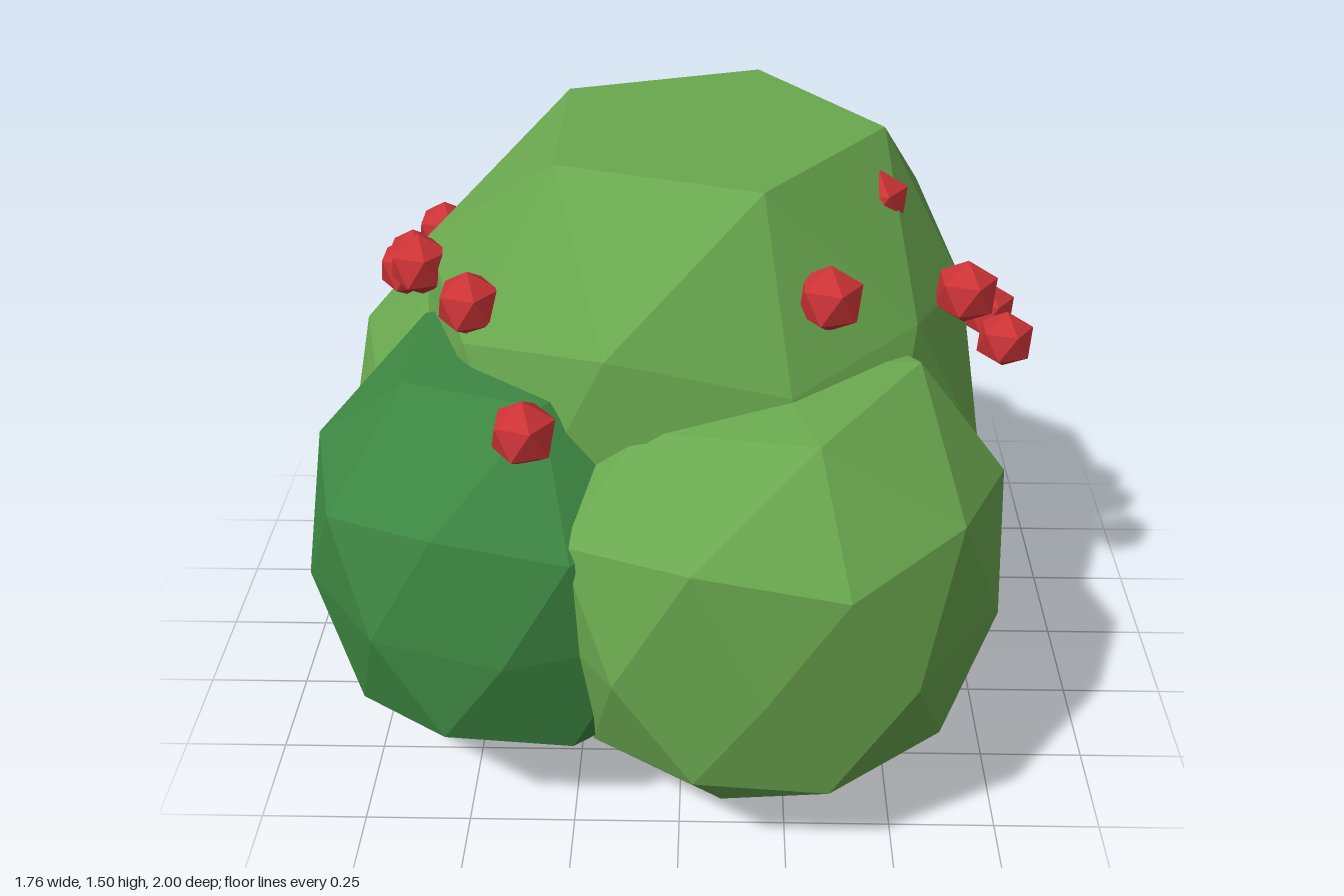
import * as THREE from 'three';

const mat = (name, color) => Object.assign(new THREE.MeshStandardMaterial({ color }), { name });

// Faceted ball with a vertex at each pole; shape(v) may adjust unit vertices.
function facetedBall(detail, shape) {
  const geo = new THREE.IcosahedronGeometry(1, detail);
  geo.rotateZ(-Math.atan(2 / (1 + Math.sqrt(5))));
  const pos = geo.attributes.position;
  const v = new THREE.Vector3();
  for (let i = 0; i < pos.count; i++) {
    v.fromBufferAttribute(pos, i);
    shape(v);
    pos.setXYZ(i, v.x, v.y, v.z);
  }
  geo.computeVertexNormals(); // unshared corners give flat facets
  return geo;
}

export function createModel() {
  const group = new THREE.Group();
  const lightLeaf = mat('light leaf green', 0x6aa84f);
  const darkLeaf = mat('dark leaf green', 0x3d8742);
  const berryRed = mat('berry red', 0xcc3336);

  const add = (name, geo, material, [x, y, z]) => {
    const mesh = new THREE.Mesh(geo, material);
    mesh.name = name;
    mesh.position.set(x, y, z);
    group.add(mesh);
  };

  // Central crown: flat cap, shoulders broadest at the back and slimmer toward the front left
  const crown = facetedBall(1, (v) => {
    if (v.y > 0.8) {
      v.set(v.x * 1.13, 0.985, v.z * 1.15);
    } else if (v.y > 0.4) {
      const frontLeft = v.x * 0.81 + v.z * 0.59 > 0.6;
      const frontRight = v.x < -0.5 && v.z > 0.3;
      v.multiplyScalar(frontLeft ? 1 : frontRight ? 1.07 : 1.13);
    }
    v.multiply(new THREE.Vector3(0.69, 0.73, 0.67));
  });
  add('crownFoliage', crown, lightLeaf, [0.05, 0.78, 0.07]);

  // Lower clumps around the crown. pole, ring: heights of the top vertex and top ring;
  // tilt: ring slope along x; cap, shoulder, waist: widths; base: bottom ring height;
  // low, front: limits downward and forward
  const clumps = [
    {
      name: 'frontFoliage', material: lightLeaf, centre: [0.19, 0.56, 0.48], r: 0.56,
      pole: 0.985, ring: 0.92, tilt: 0.12, cap: 1.15, shoulder: 1.09, waist: 1, base: -0.85, low: -0.56, front: 0.515,
    },
    {
      name: 'frontRightFoliage', material: darkLeaf, centre: [-0.38, 0.56, 0.37], r: 0.535,
      pole: 0.98, ring: 0.97, tilt: 0, cap: 1, shoulder: 1.03, waist: 0.96, base: -0.75, low: -0.53, front: 0.53,
    },
    {
      name: 'backRightFoliage', material: lightLeaf, centre: [-0.36, 0.57, -0.19], r: 0.54,
      pole: 0.97, ring: 0.94, tilt: 0, cap: 1.08, shoulder: 1.03, waist: 1, base: -0.86, low: -0.51, front: 0.54,
    },
    {
      name: 'backFoliage', material: darkLeaf, centre: [0.19, 0.575, -0.45], r: 0.55,
      pole: 0.95, ring: 0.85, tilt: 0, cap: 1, shoulder: 1.03, waist: 1, base: -0.86, low: -0.5, front: 0.55,
    },
  ];
  for (const c of clumps) {
    const geo = facetedBall(1, (v) => {
      if (v.y > 0.99) v.y = c.pole;
      else if (v.y > 0.8) v.set(v.x * c.cap, c.ring + c.tilt * v.x, v.z * c.cap);
      else if (v.y > 0.4) v.multiplyScalar(c.shoulder);
      else if (Math.abs(v.y) < 0.2) v.multiplyScalar(c.waist);
      else if (v.y < -0.8 && v.y > -0.99) v.y = c.base;
      v.multiplyScalar(c.r);
      v.y = Math.max(v.y, c.low);
      v.z = Math.min(v.z, c.front);
    });
    add(c.name, geo, c.material, c.centre);
  }

  // Berries scattered over the upper foliage
  const berryGeo = facetedBall(0, (v) => v.multiplyScalar(0.078));
  const berries = [
    [-0.7, 1.05, -0.1], [-0.7, 1.03, -0.2], [-0.62, 1.09, -0.24],
    [-0.62, 1.18, 0.15], [-0.47, 1.21, 0.41], [-0.33, 1.04, 0.68],
    [0.32, 1.28, 0.51], [0.44, 1.36, 0.17], [0.65, 1.17, 0.25],
    [0.78, 0.89, -0.21], [0.82, 0.85, -0.12], [-0.3, 1.32, -0.26],
  ];
  berries.forEach((p, i) => add(`berry${i + 1}`, berryGeo, berryRed, p));

  return group;
}
